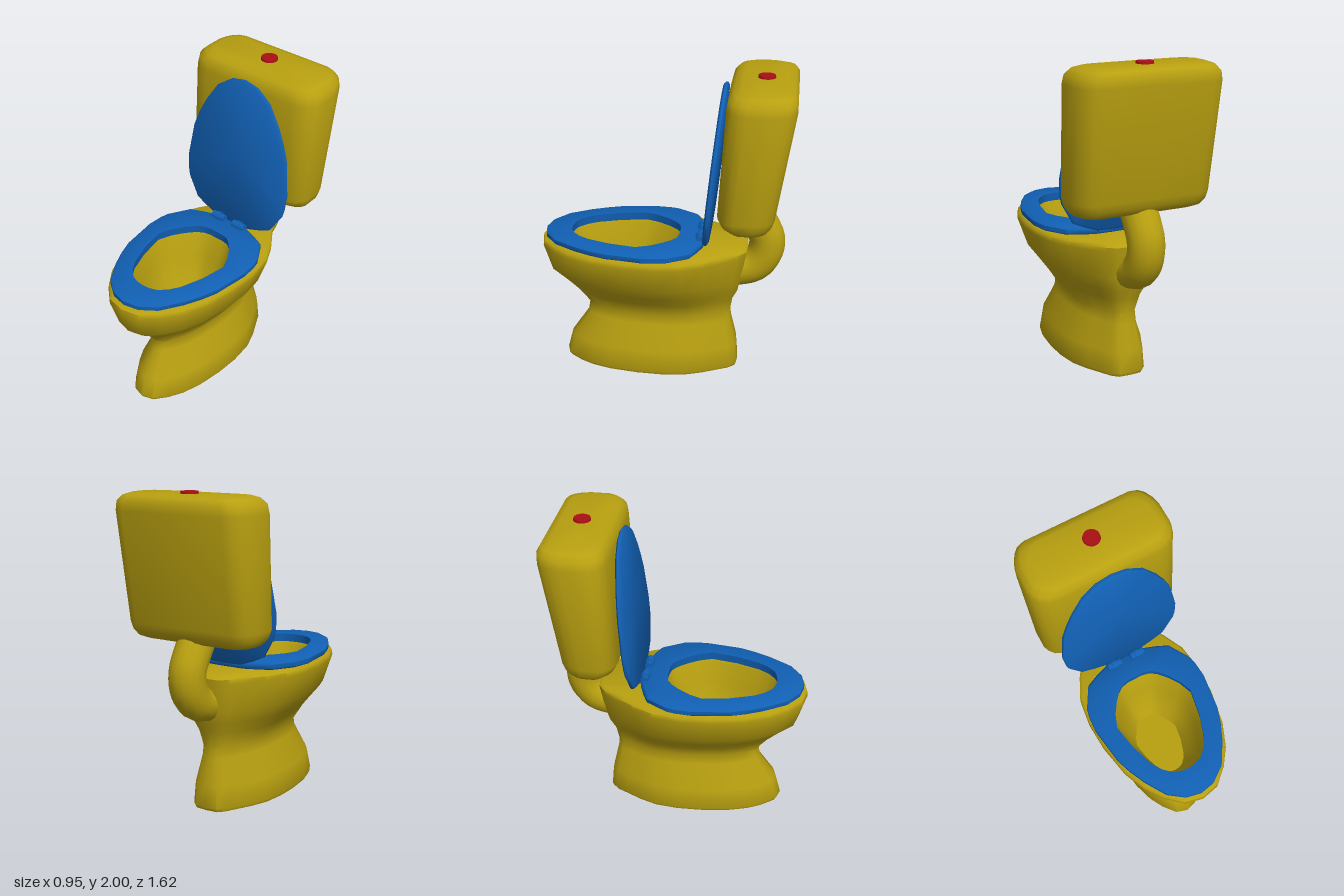
import * as THREE from 'three';
import { toCreasedNormals } from 'three/addons/utils/BufferGeometryUtils.js';

// Half outlines from front to back: [share of half width, share of depth]
const EGG = [[0, 0], [.29, .02], [.54, .09], [.73, .17], [.88, .28], [.98, .44], [1, .58],
  [.94, .71], [.78, .81], [.58, .9], [.45, .96], [.3, .995], [0, 1]];
const SEAT = [[0, 0], [.25, .02], [.5, .09], [.71, .22], [.83, .32], [.92, .42], [1, .65],
  [.98, .75], [.95, .8], [.75, .93], [.55, .965], [.33, .995], [0, 1]];
const HOLE = [[0, 0], [.2, .01], [.37, .035], [.55, .1], [.7, .19], [.89, .4], [1, .64],
  [.88, .76], [.7, .865], [.53, .94], [.37, .985], [.18, 1], [0, 1]];
const TANK = [[0, 0], [.4, .005], [.7, .01], [.81, .035], [.91, .1], [.97, .2], [1, .3],
  [1, .62], [.97, .76], [.92, .88], [.85, .96], [.74, 1], [0, 1]];

// One mirrored horizontal ring
function ring(outline, y, w, zFront, zBack) {
  const at = ([u, t], side) => [side * u * w, y, zFront + (zBack - zFront) * t];
  return [...outline.map((p) => at(p, 1)),
    ...outline.slice(1, -1).reverse().map((p) => at(p, -1))];
}

// Skin over rings; either closed into a loop or capped at both ends
function loft(rings, loop = false) {
  const n = rings[0].length, m = rings.length;
  const pos = rings.flat(2), index = [];
  for (let i = 0; i < (loop ? m : m - 1); i++) {
    for (let j = 0; j < n; j++) {
      const k = (j + 1) % n, r = i * n, s = ((i + 1) % m) * n;
      index.push(r + j, r + k, s + k, r + j, s + k, s + j);
    }
  }
  if (!loop) {
    [rings[0], rings[m - 1]].forEach((r, end) => {
      const c = pos.length / 3, base = end * (m - 1) * n;
      pos.push(0, r[0][1], (r[0][2] + r[n / 2][2]) / 2);
      for (let j = 0; j < n; j++) {
        const a = base + j, b = base + (j + 1) % n;
        index.push(c, end ? a : b, end ? b : a);
      }
    });
  }
  const g = new THREE.BufferGeometry();
  g.setAttribute('position', new THREE.Float32BufferAttribute(pos, 3));
  g.setIndex(index);
  return toCreasedNormals(g, 0.85);
}

export function createModel() {
  const model = new THREE.Group();
  const yellow = new THREE.MeshStandardMaterial({ color: 0xb8a010 });
  const blue = new THREE.MeshStandardMaterial({ color: 0x1160b4 });
  const red = new THREE.MeshStandardMaterial({ color: 0xaa1015 });
  const add = (name, geometry, material, parent = model) => {
    const mesh = new THREE.Mesh(geometry, material);
    mesh.name = name;
    parent.add(mesh);
    return mesh;
  };

  // Pedestal and bowl: up the outside, over the rim, down the inside
  const outside = [
    [0, .255, .66, -.48], [.02, .265, .672, -.49], [.16, .247, .635, -.478],
    [.33, .177, .52, -.44], [.4, .165, .51, -.434], [.5, .228, .585, -.45],
    [.57, .28, .655, -.485], [.66, .345, .757, -.505], [.84, .41, .81, -.535],
    [.87, .407, .805, -.54], [.885, .388, .78, -.525],
  ].map((r) => ring(EGG, ...r));
  const inside = [
    [.885, .285, .63, -.11], [.86, .272, .615, -.095], [.72, .25, .59, -.06],
    [.56, .19, .53, 0], [.47, .15, .475, .05],
  ].map((r) => ring(HOLE, ...r));
  add('bowl', loft([...outside, ...inside]), yellow);

  // Seat ring
  add('seat', loft([
    ring(HOLE, .88, .275, .615, -.1),
    ring(SEAT, .88, .385, .765, -.25),
    ring(SEAT, .893, .4, .783, -.262),
    ring(SEAT, .92, .4, .783, -.262),
    ring(SEAT, .935, .382, .76, -.247),
    ring(HOLE, .935, .27, .61, -.095),
  ], true), blue);

  // Raised lid, leaning back from the hinge
  const lid = add('lid', loft([
    ring(SEAT, 0, .385, 1.015, .015),
    ring(SEAT, .01, .4, 1.03, 0),
    ring(SEAT, .026, .4, 1.03, 0),
    ring(SEAT, .036, .385, 1.015, .015),
  ]), blue);
  lid.position.set(0, .915, -.255);
  lid.rotation.x = -Math.PI / 2 - 0.096;

  // Hinges: a wide knuckle between two thinner ones
  for (const side of [-1, 1]) {
    const hinge = new THREE.Group();
    hinge.name = side > 0 ? 'leftHinge' : 'rightHinge';
    hinge.position.set(side * .083, .94, -.235);
    [[-.032, .026], [0, .032], [.032, .026]].forEach(([x, r]) => {
      const knuckle = add('knuckle',
        new THREE.CylinderGeometry(r, r, .032, 12).rotateZ(Math.PI / 2), blue, hinge);
      knuckle.position.x = x;
    });
    add('hingeLeaf', new THREE.BoxGeometry(.07, .04, .06).translate(0, -.015, -.01), blue, hinge);
    model.add(hinge);
  }

  // Tank, deeper towards the top
  add('tank', loft([
    [1.1, .375, -.47, -.635], [1.115, .42, -.42, -.665], [1.15, .447, -.375, -.69],
    [1.2, .46, -.352, -.705], [1.88, .475, -.392, -.81], [1.935, .465, -.4, -.81],
    [1.97, .43, -.43, -.79], [1.985, .385, -.475, -.745],
  ].map((r) => ring(TANK, ...r))), yellow);

  // Flush button
  add('flushButton', new THREE.CylinderGeometry(.052, .056, .03, 20), red)
    .position.set(0, 1.985, -.615);

  // Pipe from tank to bowl
  const path = new THREE.CatmullRomCurve3([
    [1.14, -.53], [1.05, -.595], [.93, -.655], [.82, -.645], [.73, -.575], [.69, -.43],
  ].map(([y, z]) => new THREE.Vector3(0, y, z)));
  add('pipe', new THREE.TubeGeometry(path, 20, .115, 16), yellow);

  return model;
}
